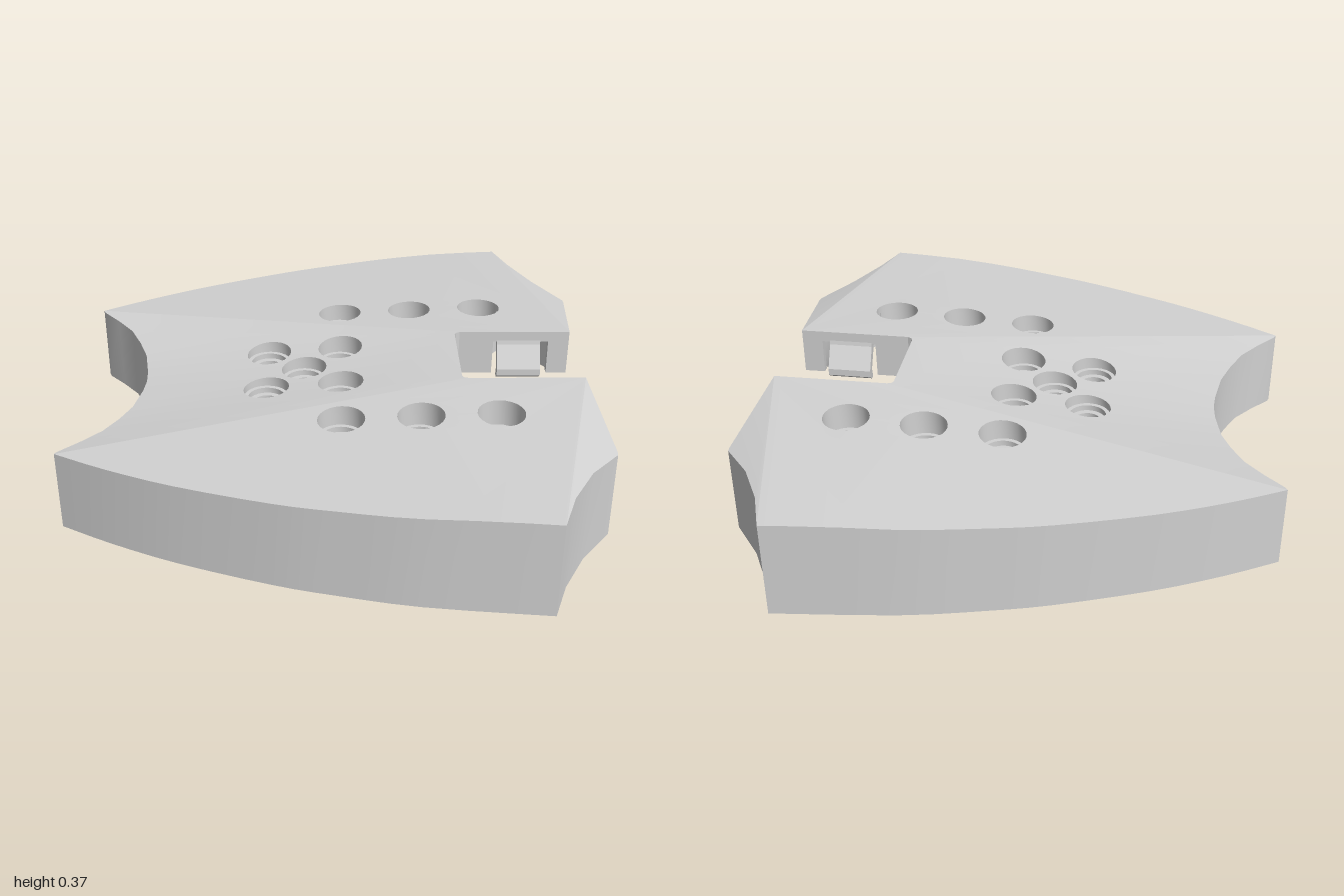
import * as THREE from 'three';
import { toCreasedNormals } from 'three/addons/utils/BufferGeometryUtils.js';

const SLOT_X = 0.46, SLOT_Z = 0.175, RIDGE_Y = 0.37, THICK = 0.025;
const V = (x, z) => new THREE.Vector2(x, z);

// Height of the roof: wings fall outward from a ridge, a shallow valley lies
// between the ridges, and the rear corners are bevelled.
function roofY(x, z) {
  const a = Math.abs(z), ahead = Math.max(0, SLOT_X - x);
  const ridgeZ = SLOT_Z + ahead * (0.355 / 1.37);
  const ridgeY = RIDGE_Y - ahead * (0.085 / 1.37);
  if (a < ridgeZ) {
    const t = a / ridgeZ;
    return ridgeY - 0.04 * Math.min(1, ahead / 1.14) * (1 - t * t);
  }
  const bevel = Math.max(0, (x - 0.865) * 0.825 + (a - SLOT_Z) * 0.195);
  return ridgeY - 0.042 * (a - ridgeZ) - 0.406 * bevel;
}

// One roof panel, top or underside, with round holes; side -1 or 1 flips it in z
function panel(points, holes, centre, side, top, material) {
  const shape = new THREE.Shape(points);
  for (const [x, z] of holes) {
    const ring = [];
    for (let i = 0; i < 24; i++) {
      const a = (i / 24) * Math.PI * 2;
      ring.push(V(x + 0.08 * Math.cos(a), z + 0.08 * Math.sin(a)));
    }
    shape.holes.push(new THREE.Path(ring));
  }
  const g = new THREE.ShapeGeometry(shape);
  const p = g.attributes.position, n = g.attributes.normal;
  const e = 0.003, normal = new THREE.Vector3();
  for (let i = 0; i < p.count; i++) {
    const x = p.getX(i), z = p.getY(i);
    // sample the slope slightly inside the panel so creases stay sharp
    const inward = V(centre[0] - x, centre[1] - z).setLength(0.012);
    const sx = x + inward.x, sz = z + inward.y;
    normal.set(roofY(sx - e, sz) - roofY(sx + e, sz), 2 * e,
      side * (roofY(sx, sz - e) - roofY(sx, sz + e))).normalize();
    if (!top) normal.negate();
    n.setXYZ(i, normal.x, normal.y, normal.z);
    p.setXYZ(i, x, roofY(x, z) - (top ? 0 : THICK), side * z);
  }
  if (top === side > 0) g.setIndex(Array.from(g.index.array).reverse());
  return new THREE.Mesh(g, material);
}

// Wall between an outer and an inner line, from given bottoms up to the roof
function wall(outer, inner, bottoms, closed, drop, material) {
  const pos = [], n = outer.length;
  const quad = (a, b, c, d) => [a, b, c, a, c, d].forEach(v => pos.push(...v));
  const low = (q, i) => [q[i].x, bottoms[i], q[i].y];
  const high = (q, i, d) => [q[i].x, roofY(q[i].x, q[i].y) - d, q[i].y];
  for (let i = 0; i < (closed ? n : n - 1); i++) {
    const j = (i + 1) % n;
    quad(low(outer, i), low(outer, j), high(outer, j, drop), high(outer, i, drop));
    quad(low(inner, j), low(inner, i), high(inner, i, 0.015), high(inner, j, 0.015));
    quad(low(outer, i), low(inner, i), low(inner, j), low(outer, j));
  }
  const g = new THREE.BufferGeometry();
  g.setAttribute('position', new THREE.Float32BufferAttribute(pos, 3));
  return new THREE.Mesh(toCreasedNormals(g, 0.4), material);
}

// Inward mitred offset of the closed outline
function inset(points, d) {
  const n = points.length;
  const side = (a, b) => V(b.y - a.y, a.x - b.x).normalize();
  return points.map((p, i) => {
    const n1 = side(points[(i + n - 1) % n], p), n2 = side(p, points[(i + 1) % n]);
    const m = n1.clone().add(n2).normalize();
    return p.clone().addScaledVector(m, d / Math.max(0.5, m.dot(n1)));
  });
}

export function createModel() {
  const model = new THREE.Group();
  const grey = new THREE.MeshStandardMaterial({ color: 0xd2d2d2 });
  grey.name = 'light grey';
  const add = (mesh, name) => { mesh.name = name; model.add(mesh); };
  const mirror = list => list.map(p => V(p.x, -p.y));

  // Half of the plan, from the middle of the hollow end to the slot
  const tip = V(-0.91, 0.53), corner = V(0.67, 1), slotEnd = V(0.865, SLOT_Z);
  const hollow = [V(-0.677, 0), V(-0.682, 0.07), V(-0.702, 0.19), V(-0.735, 0.28),
    V(-0.778, 0.37), V(-0.84, 0.447), V(-0.903, 0.515)];
  const flank = new THREE.SplineCurve([tip, V(-0.73, 0.63), V(-0.5, 0.737), V(-0.2, 0.846),
    V(0, 0.9), V(0.27, 0.957), corner]).getPoints(18);
  const rear = [V(0.72, 0.86), V(0.8, 0.71), V(0.905, 0.575)];
  const opening = [V(0.906, 0.56), V(0.905, 0.545), V(0.904, 0.535), V(0.901, 0.51)];
  const clipGap = [0.79, 0.789, 0.586, 0.585].map(x => V(x, SLOT_Z));
  const slot = [V(SLOT_X, SLOT_Z), V(0.446, 0.169), V(0.44, 0.155)];

  // Roof panels
  const wingHoles = [0.02, 0.285, 0.55].map(x => [x, -0.4]);
  const centreHoles = [[-0.11, 0], [-0.24, 0.13], [0.02, 0.13], [-0.24, -0.13], [0.02, -0.13]];
  const centreHalf = [...hollow, tip, ...slot];
  const centre = [...centreHalf, ...mirror(centreHalf.slice(1)).reverse()];
  const wing = mirror([...flank, slotEnd, slot[0]]);
  const bevel = mirror([corner, ...rear, ...opening, slotEnd]);
  for (const top of [true, false]) {
    const label = top ? 'Top' : 'Underside';
    add(panel(centre, centreHoles, [-0.1, 0], 1, top, grey), 'centre' + label);
    for (const side of [1, -1]) {
      const name = side < 0 ? 'front' : 'back';
      add(panel(wing, wingHoles, [0.1, -0.5], side, top, grey), name + 'Wing' + label);
      add(panel(bevel, [], [0.83, -0.56], side, top, grey), name + 'Bevel' + label);
    }
  }

  // Skirt all round, raised at the rear opening, the slot and behind the clips
  const half = [...hollow, ...flank, ...rear, ...opening, slotEnd, ...clipGap, ...slot];
  const tall = hollow.length + flank.length + rear.length;
  const raised = [0, 0.05, 0.17, 0.2, 0.2, 0.2, 0.33, 0.33, 0.2, 0.2, 0.2, 0.2];
  const lows = half.map((p, i) => i < tall ? 0 : raised[i - tall]);
  const outline = [...half, ...mirror(half.slice(1)).reverse()];
  const bottoms = [...lows, ...lows.slice(1).reverse()];
  add(wall(outline, inset(outline, THICK), bottoms, true, 0, grey), 'skirt');

  // Stiffening ribs underneath
  const rib = (a, b, name) => {
    const n = V(a.y - b.y, b.x - a.x).setLength(0.012);
    const left = [a.clone().add(n), b.clone().add(n)];
    const right = [a.clone().sub(n), b.clone().sub(n)];
    add(wall(left, right, [0.2, 0.2], false, 0.015, grey), name);
  };
  for (const s of [1, -1]) {
    rib(V(-0.88, 0.52 * s), V(0.45, 0.185 * s), 'ridgeRib');
    rib(V(0.62, 0.435 * s), V(0.885, 0.55 * s), 'cornerRib');
  }

  // Stepped tubular bosses; heights 1 and 2 are fitted to the roof
  const profile = [[0.08, 1], [0.08, 0.27], [0.065, 0.27], [0.065, 0.25], [0.045, 0.25],
    [0.045, 0.175], [0.065, 0.175], [0.065, 0.2], [0.09, 0.2], [0.09, 2]].map(p => V(...p));
  const mirrored = wingHoles.map(([x, z]) => [x, -z]);
  for (const [x, z] of [...centreHoles, ...wingHoles, ...mirrored]) {
    const g = new THREE.LatheGeometry(profile, 24);
    const p = g.attributes.position;
    for (let i = 0; i < p.count; i++) {
      const px = p.getX(i) + x, pz = p.getZ(i) + z, py = p.getY(i);
      p.setXYZ(i, px, py < 1 ? py : roofY(px, pz) - (py > 1 ? 0.015 : 0), pz);
    }
    add(new THREE.Mesh(toCreasedNormals(g, 0.5), grey), 'boss');
  }

  // Bent snap clips hanging in the gaps of the slot walls
  for (const s of [1, -1]) {
    const hook = [[0.205, 0.35], [0.178, 0.35], [0.172, 0.32], [0.125, 0.24], [0.125, 0.215],
      [0.145, 0.2], [0.165, 0.2], [0.155, 0.235], [0.205, 0.315]].map(([z, y]) => V(z * s, y));
    const g = new THREE.ExtrudeGeometry(new THREE.Shape(hook), { depth: 0.16, bevelEnabled: false });
    g.rotateY(-Math.PI / 2).translate(0.76, 0, 0);
    add(new THREE.Mesh(g, grey), 'clip');
  }
  return model;
}
